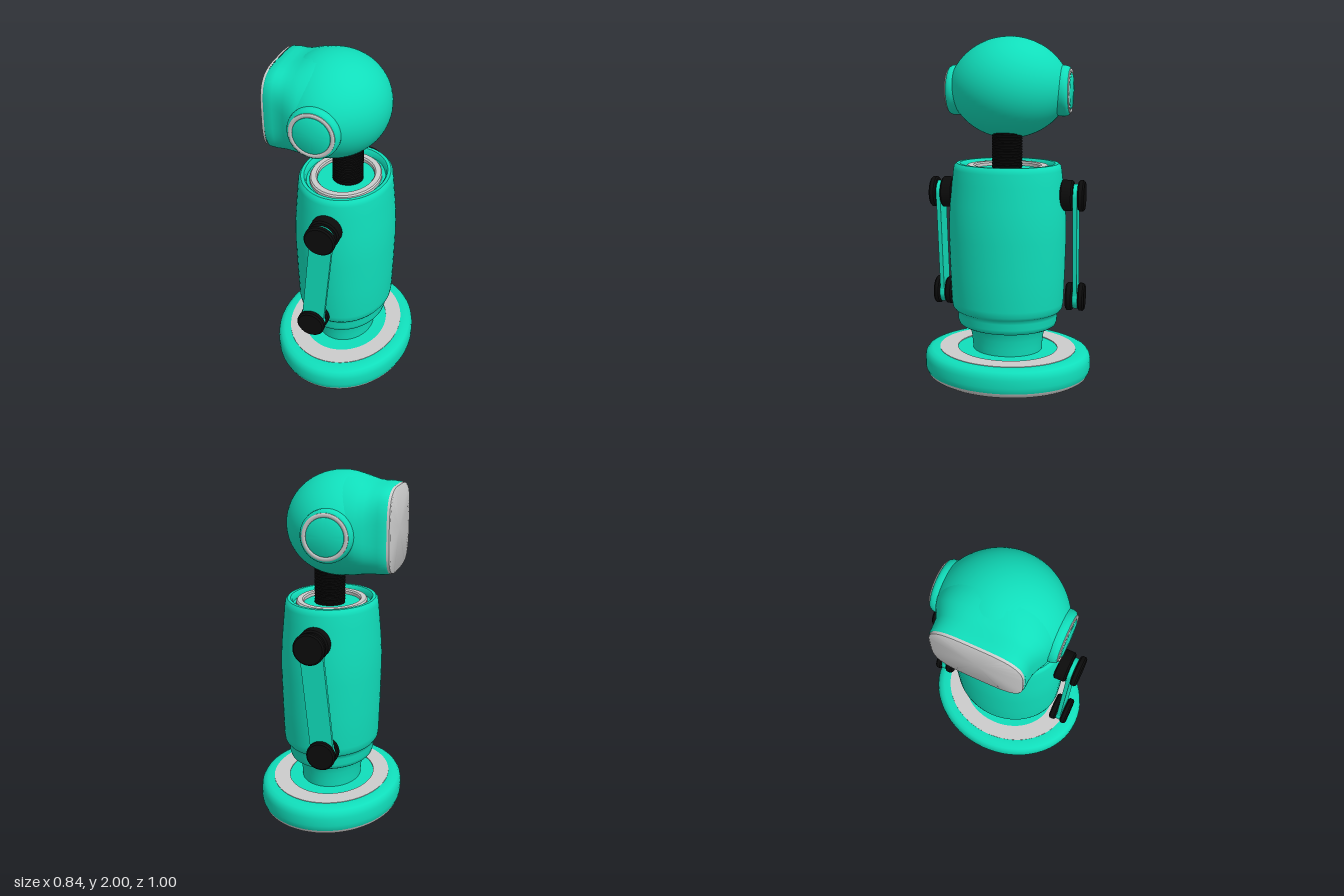
import * as THREE from 'three';
import { toCreasedNormals } from 'three/addons/utils/BufferGeometryUtils.js';

const material = (name, color) => {
  const m = new THREE.MeshStandardMaterial({ color });
  m.name = name;
  return m;
};

const ASPECT = 0.84; // base and body are ellipses, narrower in x

export function createModel() {
  const teal = material('teal shell', 0x10debb);
  const grey = material('light grey trim', 0xcccccc);
  const black = material('black joints', 0x0b0b0b);
  const root = new THREE.Group();

  const add = (parent, name, geometry, mat) => {
    const mesh = new THREE.Mesh(geometry, mat);
    mesh.name = name;
    parent.add(mesh);
    return mesh;
  };
  const lathe = (points, segments = 64) => toCreasedNormals(
    new THREE.LatheGeometry(points.map(([r, y]) => new THREE.Vector2(r, y)), segments), 0.7);
  const oval = (name, points, mat) => add(root, name, lathe(points).scale(ASPECT, 1, 1), mat);
  const zLathe = (points, segments) => lathe(points, segments).rotateX(Math.PI / 2);

  // Base
  oval('baseSole', [[0, 0], [0.465, 0], [0.482, 0.012], [0.49, 0.03]], grey);
  oval('base', [[0.49, 0.03], [0.497, 0.045], [0.5, 0.065], [0.5, 0.11], [0.494, 0.135],
    [0.48, 0.153], [0.455, 0.163], [0.41, 0.163], [0.3, 0.161], [0, 0.161]], teal);
  oval('baseRing', [[0.41, 0.16], [0.41, 0.166], [0.3, 0.166], [0.3, 0.16]], grey);

  // Stem, collar and body with a recessed top
  oval('stem', [[0.207, 0.16], [0.21, 0.2], [0.216, 0.25], [0.226, 0.29], [0.24, 0.32]], teal);
  oval('collar', [[0, 0.31], [0.275, 0.313], [0.289, 0.322], [0.297, 0.345], [0.297, 0.38],
    [0.303, 0.4], [0.315, 0.41]], teal);
  oval('body', [[0.3, 0.4], [0.318, 0.41], [0.329, 0.425], [0.334, 0.46], [0.341, 0.65],
    [0.346, 0.85], [0.345, 0.95], [0.338, 1.05], [0.325, 1.17], [0.317, 1.245], [0.312, 1.268],
    [0.298, 1.281], [0.277, 1.281], [0.266, 1.27], [0.262, 1.245], [0, 1.245]], teal);
  oval('bodyTopRing', [[0.24, 1.24], [0.24, 1.262], [0.232, 1.27], [0.198, 1.27],
    [0.19, 1.262], [0.19, 1.24]], grey);

  // Ribbed neck
  const ribs = [];
  for (let y = 1.24; y < 1.47; y += 0.016) ribs.push([0.081, y], [0.088, y + 0.004], [0.088, y + 0.012]);
  add(root, 'neck', lathe(ribs, 40), black).position.x = 0.012;

  // Head ball: an arc turned about the z axis
  const head = new THREE.Group();
  head.name = 'head';
  root.add(head);
  const arc = [[0, -0.325]];
  for (let i = 0; i <= 32; i++) {
    const z = -0.325 + (0.65 * i) / 32;
    arc.push([Math.sqrt(0.374 ** 2 - z * z) - 0.083, z]);
  }
  arc.push([0, 0.325]);
  const ball = add(head, 'headBall', zLathe(arc, 72).scale(1.08, 1, 1), teal);
  ball.position.set(-0.065, 1.71, 0);

  // Rounded-square sections along x: [x, half depth, half height, exponent, centre y]
  const loft = (sections) => {
    const n = 72, pos = [], index = [];
    sections.forEach(([x, w, h, e, cy]) => {
      for (let j = 0; j < n; j++) {
        const t = (j / n) * Math.PI * 2, c = Math.cos(t), s = Math.sin(t);
        pos.push(x, cy + h * Math.sign(s) * Math.abs(s) ** (2 / e), w * Math.sign(c) * Math.abs(c) ** (2 / e));
      }
    });
    for (let i = 0; i < sections.length - 1; i++) {
      for (let j = 0; j < n; j++) {
        const k = (j + 1) % n, a = i * n + j, b = a + n, c = (i + 1) * n + k, d = i * n + k;
        index.push(a, b, c, a, c, d);
      }
    }
    const g = new THREE.BufferGeometry();
    g.setAttribute('position', new THREE.Float32BufferAttribute(pos, 3));
    g.setIndex(index);
    return toCreasedNormals(g, 0.7);
  };
  add(head, 'snout', loft([
    [-0.372, 0.252, 0.232, 3.6, 1.698], [-0.362, 0.26, 0.24, 3.6, 1.698],
    [-0.32, 0.262, 0.245, 3.5, 1.698], [-0.285, 0.268, 0.246, 3.2, 1.698],
    [-0.25, 0.285, 0.251, 2.8, 1.699], [-0.21, 0.308, 0.262, 2.5, 1.703],
    [-0.17, 0.322, 0.276, 2.2, 1.706], [-0.12, 0.325, 0.286, 2.05, 1.709],
    [-0.06, 0.322, 0.285, 2, 1.71]]), teal);
  add(head, 'facePlate', loft([
    [-0.386, 0, 0, 3.6, 1.698], [-0.389, 0.246, 0.226, 3.6, 1.698],
    [-0.384, 0.254, 0.234, 3.6, 1.698], [-0.37, 0.256, 0.236, 3.6, 1.698]]), grey);

  // Capsule-shaped arm outline from shoulder to hand
  const shoulder = new THREE.Vector2(0, 1.1), hand = new THREE.Vector2(-0.065, 0.48);
  const lean = Math.atan2(shoulder.y - hand.y, shoulder.x - hand.x) - Math.PI / 2;
  const armShape = new THREE.Shape();
  armShape.absarc(shoulder.x, shoulder.y, 0.066, lean, lean + Math.PI, false);
  armShape.absarc(hand.x, hand.y, 0.066, lean + Math.PI, lean + Math.PI * 2, false);
  armShape.closePath();

  // Round joint disc between two z positions, with softened rims
  const disc = (r, z0, z1) => zLathe([[0, z0], [r - 0.009, z0], [r, z0 + 0.009],
    [r, z1 - 0.009], [r - 0.009, z1], [0, z1]], 48);

  for (const [side, turn] of [['left', 1], ['right', -1]]) {
    const place = (name, geometry, mat, x = 0, y = 0) => {
      if (turn < 0) { // mirror in z and restore the winding
        geometry = geometry.index ? geometry.toNonIndexed() : geometry;
        geometry.scale(1, 1, -1);
        for (const key of ['position', 'normal']) {
          const a = geometry.attributes[key], p = new THREE.Vector3(), q = new THREE.Vector3();
          for (let i = 0; i < a.count; i += 3) {
            p.fromBufferAttribute(a, i + 1);
            q.fromBufferAttribute(a, i + 2);
            a.setXYZ(i + 1, q.x, q.y, q.z);
            a.setXYZ(i + 2, p.x, p.y, p.z);
          }
        }
      }
      add(root, side + name, geometry, mat).position.set(x, y, 0);
    };

    // Ear: teal flange, grey ring, teal centre
    place('EarFlange', zLathe([[0.142, 0.28], [0.145, 0.318], [0.143, 0.335], [0.136, 0.348],
      [0.126, 0.352], [0, 0.352]]), teal, -0.065, 1.693);
    place('EarRing', zLathe([[0.127, 0.34], [0.127, 0.356], [0.122, 0.36], [0.11, 0.36],
      [0.105, 0.356], [0.105, 0.345]]), grey, -0.065, 1.693);
    place('EarCentre', zLathe([[0.105, 0.345], [0.104, 0.358], [0.096, 0.363], [0, 0.363]]),
      teal, -0.065, 1.693);

    // Arm plate held in slotted joints
    const arm = new THREE.ExtrudeGeometry(armShape, { depth: 0.024, bevelEnabled: false, curveSegments: 20 });
    place('Arm', toCreasedNormals(arm.translate(0, 0, 0.39), 0.6), teal);
    place('ShoulderInner', disc(0.09, 0.315, 0.388), black, shoulder.x, shoulder.y);
    place('ShoulderOuter', disc(0.09, 0.416, 0.454), black, shoulder.x, shoulder.y);
    place('HandInner', disc(0.083, 0.344, 0.387), black, hand.x, hand.y);
    place('HandOuter', disc(0.083, 0.417, 0.455), black, hand.x, hand.y);
    place('HandCore', disc(0.071, 0.38, 0.425).scale(1, 1, 1), teal, hand.x, hand.y);
  }
  return root;
}
